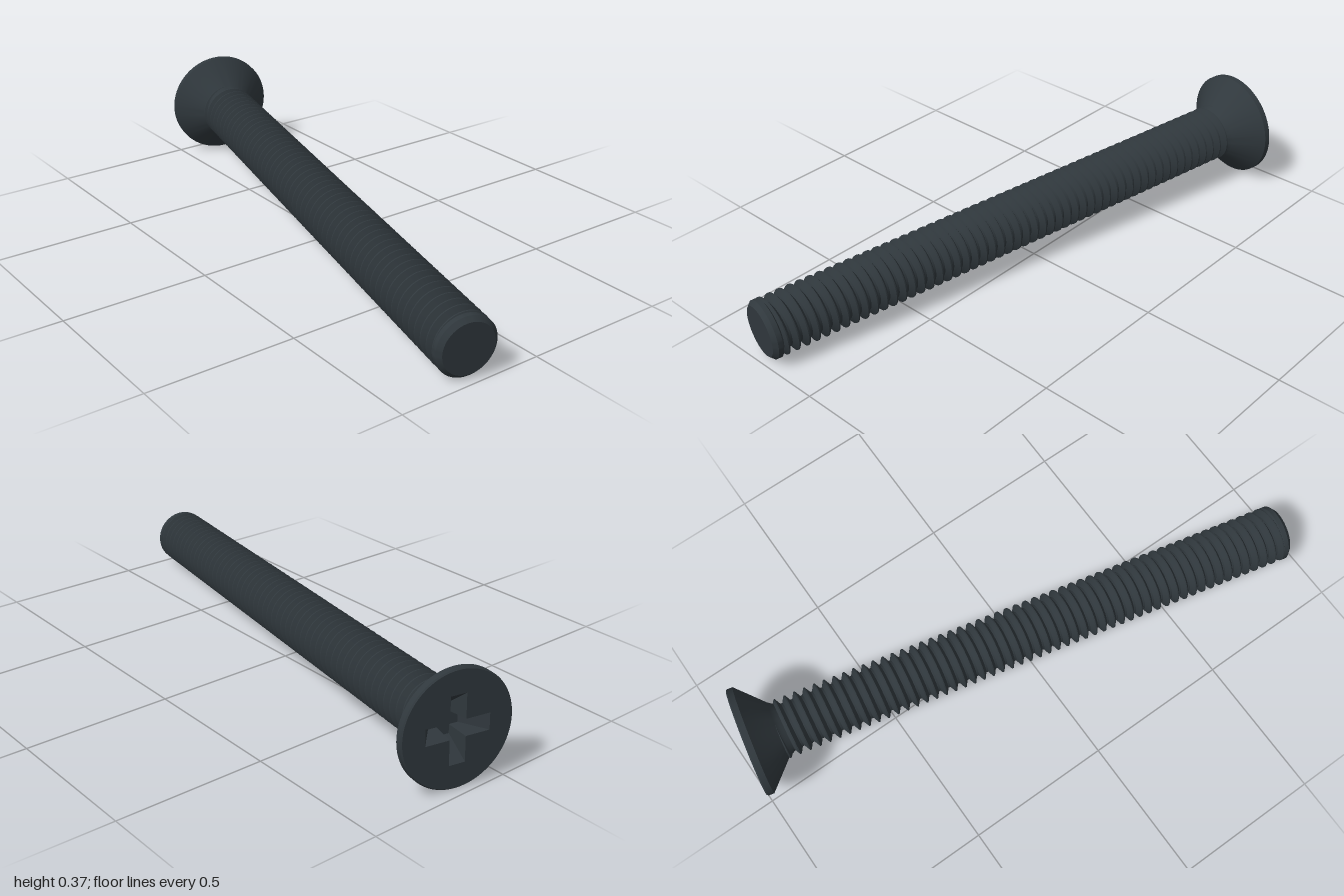
import * as THREE from 'three';
import { toCreasedNormals } from 'three/addons/utils/BufferGeometryUtils.js';

const START = new THREE.Vector3(-0.961, 0.187, -0.16);  // centre of the head face
const END = new THREE.Vector3(0.979, 0.101, 0.247);     // centre of the tip
const LENGTH = START.distanceTo(END);
const HEAD_R = 0.183, MAJOR = 0.1, MINOR = 0.079, PITCH = 0.0347;

function lathe(points, segments = 72) {
  const g = new THREE.LatheGeometry(points.map(p => new THREE.Vector2(...p)), segments);
  return toCreasedNormals(g, 0.45);
}

// Helical V-thread swept along +y
function threadGeometry(y0, y1) {
  const profile = [[0, MINOR], [0.2, MINOR], [0.54, MAJOR], [0.66, MAJOR], [1, MINOR]];
  const segments = 36, steps = Math.round((y1 - y0) / PITCH * segments), n = profile.length;
  const positions = [], index = [];
  for (let i = 0; i <= steps; i++) {
    const a = i / segments * Math.PI * 2;
    for (const [t, r] of profile) {
      positions.push(r * Math.sin(a), y0 + (i / segments + t) * PITCH, r * Math.cos(a));
    }
  }
  for (let i = 0; i < steps; i++) {
    for (let j = 0; j < n - 1; j++) {
      const a = i * n + j, b = a + n;
      index.push(a, b, a + 1, b, b + 1, a + 1);
    }
  }
  const g = new THREE.BufferGeometry();
  g.setAttribute('position', new THREE.Float32BufferAttribute(positions, 3));
  g.setIndex(index);
  return toCreasedNormals(g, 0.45);
}

// Counter-clockwise cross outline: arm length l, half width w
function crossPoints(l, w) {
  const pts = [];
  for (let k = 0; k < 4; k++) {
    const c = Math.round(Math.cos(k * Math.PI / 2)), s = Math.round(Math.sin(k * Math.PI / 2));
    for (const [x, y] of [[l, -w], [l, w], [w, w]]) {
      pts.push(new THREE.Vector2(x * c - y * s, x * s + y * c));
    }
  }
  return pts;
}

// Tapered walls of the drive recess
function recessWalls(top, bottom, depth) {
  const positions = [];
  top.forEach((a, i) => {
    const j = (i + 1) % top.length, b = top[j], c = bottom[i], e = bottom[j];
    positions.push(a.x, a.y, 0, b.x, b.y, 0, c.x, c.y, -depth);
    positions.push(b.x, b.y, 0, e.x, e.y, -depth, c.x, c.y, -depth);
  });
  const g = new THREE.BufferGeometry();
  g.setAttribute('position', new THREE.Float32BufferAttribute(positions, 3));
  g.computeVertexNormals();
  return g;
}

export function createModel() {
  const steel = new THREE.MeshStandardMaterial({ color: 0x30383d });
  steel.name = 'dark steel';
  const model = new THREE.Group();
  model.name = 'screw';
  const add = (name, geometry) => {
    const mesh = new THREE.Mesh(geometry, steel);
    mesh.name = name;
    model.add(mesh);
  };

  // Countersunk head with a narrow rim
  add('head', lathe([[HEAD_R, 0], [0.187, 0.004], [0.187, 0.024], [0.1, 0.108],
    [0.091, 0.12], [0.084, 0.135], [0.078, 0.15]]));

  // Flat head face with a cross-shaped recess
  const depth = 0.075;
  const top = crossPoints(0.108, 0.027), bottom = crossPoints(0.05, 0.021);
  const face = new THREE.Shape().absarc(0, 0, HEAD_R, 0, Math.PI * 2, false);
  face.holes.push(new THREE.Path(top.slice().reverse()));
  add('headFace', new THREE.ShapeGeometry(face, 72).rotateX(Math.PI / 2));
  add('recessWalls', recessWalls(top, bottom, depth).rotateX(Math.PI / 2));
  add('recessFloor', new THREE.ShapeGeometry(new THREE.Shape(bottom))
    .translate(0, 0, -depth).rotateX(Math.PI / 2));

  // Threaded shank
  add('thread', threadGeometry(0.085, LENGTH - 0.05));

  // Chamfered tip
  add('tip', lathe([[MINOR, LENGTH - 0.042], [0.099, LENGTH - 0.03],
    [0.099, LENGTH - 0.014], [0.085, LENGTH], [0, LENGTH]]));

  // Lay the screw along its slanted axis
  const axis = END.clone().sub(START).normalize();
  const up = new THREE.Vector3(0, 1, 0).addScaledVector(axis, -axis.y).normalize();
  const side = axis.clone().cross(up);
  model.quaternion.setFromRotationMatrix(new THREE.Matrix4().makeBasis(side, axis, up));
  model.position.copy(START);
  return model;
}
